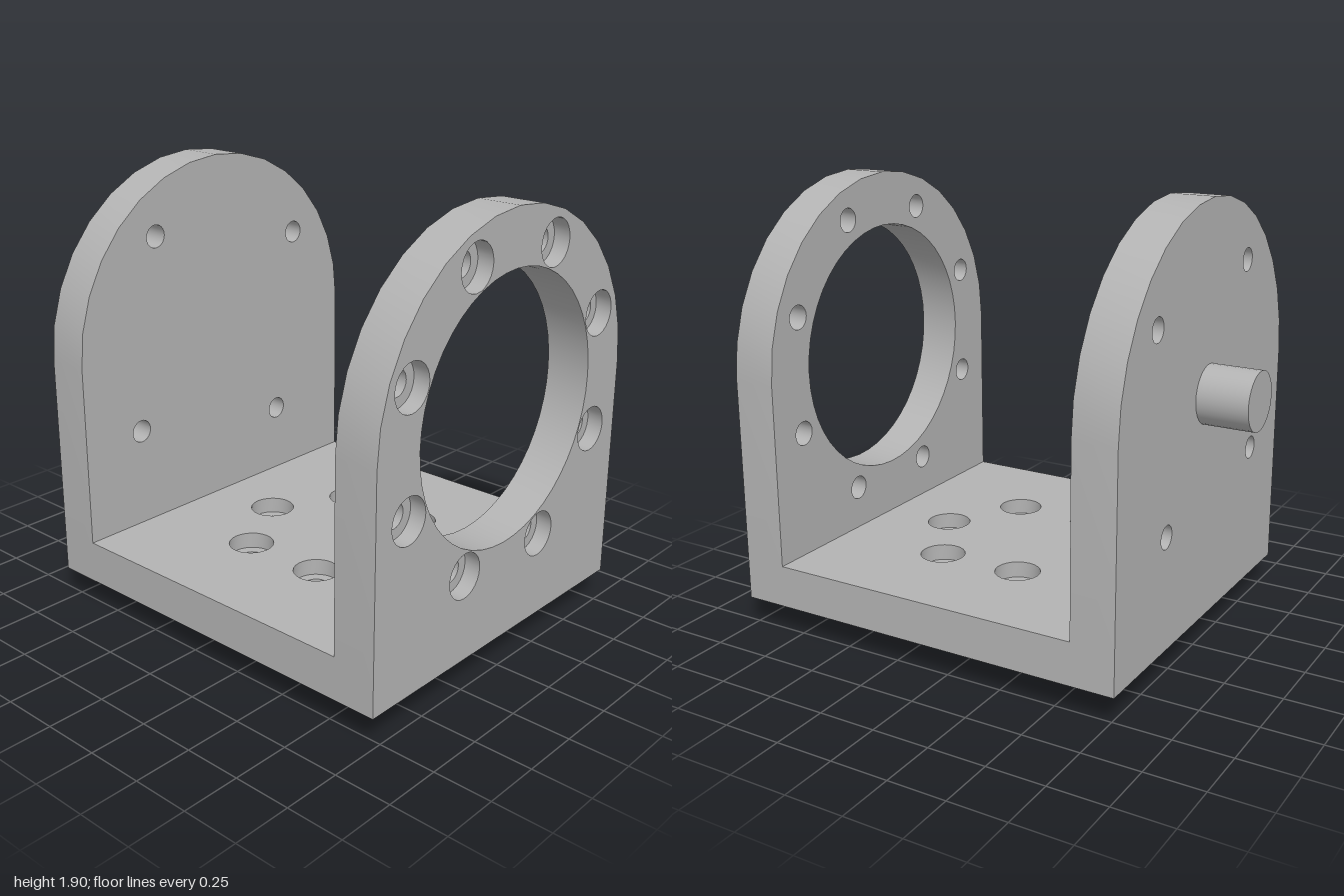
import * as THREE from 'three';
import { mergeGeometries, toCreasedNormals } from 'three/addons/utils/BufferGeometryUtils.js';

const BORE = 0.07; // counterbore depth

// Points on an arc, counter-clockwise
function arc(x, y, r, n, from = 0, sweep = Math.PI * 2) {
  const count = sweep < 6 ? n + 1 : n;
  return Array.from({ length: count }, (_, i) => {
    const a = from + (sweep * i) / n;
    return new THREE.Vector2(x + r * Math.cos(a), y + r * Math.sin(a));
  });
}

// Holes evenly spaced on a bolt circle; R is the counterbore radius
function boltCircle(cx, cy, radius, count, start, r, R = r) {
  return Array.from({ length: count }, (_, i) => {
    const a = start + (i * Math.PI * 2) / count;
    return { x: cx + radius * Math.cos(a), y: cy + radius * Math.sin(a), r, R, n: 24 };
  });
}

// Side wall following a closed loop, facing outward for counter-clockwise loops
function wall(loop, z0, z1) {
  const pos = [];
  loop.forEach((p, i) => {
    const q = loop[(i + 1) % loop.length];
    pos.push(p.x, p.y, z0, q.x, q.y, z0, q.x, q.y, z1, p.x, p.y, z0, q.x, q.y, z1, p.x, p.y, z1);
  });
  return new THREE.BufferGeometry().setAttribute('position', new THREE.Float32BufferAttribute(pos, 3));
}

// Slab from z = 0 to depth, with counterbores opening on the +z face
function slab(outline, holes, depth) {
  const cap = (key, z) => {
    const shape = new THREE.Shape(outline);
    holes.forEach(h => shape.holes.push(new THREE.Path(arc(h.x, h.y, h[key], h.n))));
    return new THREE.ShapeGeometry(shape).translate(0, 0, z);
  };
  const back = cap('r', 0);
  back.setIndex(Array.from(back.index.array).reverse());
  const parts = [cap('R', depth), back, wall(outline, 0, depth)];
  for (const h of holes) {
    const step = h.R > h.r ? depth - BORE : depth;
    parts.push(wall(arc(h.x, h.y, h.r, h.n).reverse(), 0, step));
    if (h.R > h.r) {
      parts.push(wall(arc(h.x, h.y, h.R, h.n).reverse(), step, depth));
      parts.push(new THREE.RingGeometry(h.r, h.R, h.n).translate(h.x, h.y, step));
    }
  }
  const plain = parts.map(g => {
    const p = g.index ? g.toNonIndexed() : g;
    p.deleteAttribute('uv');
    p.deleteAttribute('normal');
    return p;
  });
  return toCreasedNormals(mergeGeometries(plain), 0.6);
}

export function createModel() {
  const model = new THREE.Group();
  const metal = new THREE.MeshStandardMaterial({ color: 0xb3b3b3 });
  metal.name = 'light grey metal';
  const add = (name, geometry) => {
    const mesh = new THREE.Mesh(geometry, metal);
    mesh.name = name;
    model.add(mesh);
    return mesh;
  };

  const W = 0.795, axisY = 1.11, bottom = 0.13, T = 0.19;
  const v = (x, y) => new THREE.Vector2(x, y);
  const archOutline = [v(-W, bottom), v(W, bottom), ...arc(0, axisY, W, 16, 0, Math.PI)];

  // Front arch with large opening and eight counterbored holes
  add('frontPlate', slab(archOutline, [
    { x: 0, y: axisY + 0.003, r: 0.557, R: 0.557, n: 48 },
    ...boltCircle(0, axisY + 0.003, 0.66, 8, Math.PI / 8, 0.053, 0.097),
  ], T)).position.z = 0.81;

  // Back arch with four plain holes
  add('backPlate', slab(archOutline,
    boltCircle(0, axisY + 0.003, 0.61, 4, 0.64, 0.05), T)).position.z = -0.78;

  // Stub shaft on the back arch
  add('shaft', new THREE.CylinderGeometry(0.125, 0.125, 0.22, 32)
    .rotateX(Math.PI / 2).translate(0, 1.115, -0.89));

  // Floor joining the arches (local y points to -z)
  const hubY = -0.11;
  const floorOutline = [v(-W, -0.81), v(W, -0.81), v(W, 0.59), v(-W, 0.59)];
  add('base', slab(floorOutline,
    boltCircle(0, hubY, 0.38, 6, Math.PI / 6, 0.053, 0.097), 0.185)
    .rotateX(-Math.PI / 2)).position.y = bottom;

  // Mounting disc below, with six through holes and three blind holes
  add('mountingDisc', slab(arc(0, hubY, 0.538, 48), [
    ...boltCircle(0, hubY, 0.38, 6, Math.PI / 6, 0.053),
    ...boltCircle(0, hubY, 0.38, 3, Math.PI / 3, 0.068),
  ], bottom).rotateX(-Math.PI / 2));

  return model;
}
